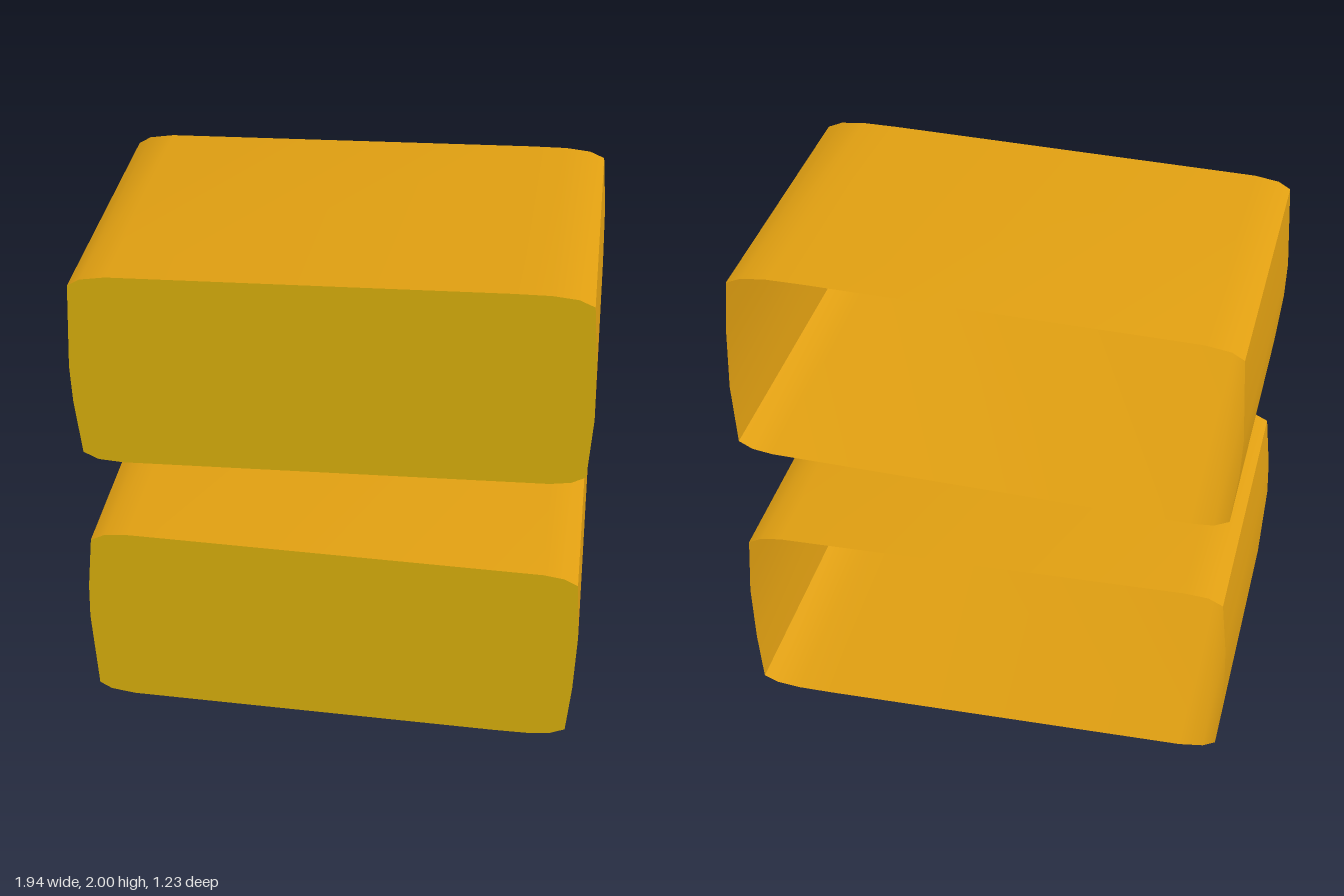
import * as THREE from 'three';
import { toCreasedNormals } from 'three/addons/utils/BufferGeometryUtils.js';

const DEPTH = 1.23;
const HEIGHT = 2;

// Outline of the upper box, clockwise from its top left corner
const OUTLINE = [
  [-0.952, 1.92], [-0.905, 1.948], [-0.81, 1.963], [0.65, 1.999], [0.79, 2], [0.885, 1.99], [0.942, 1.965],
  [0.96, 1.75], [0.968, 1.5], [0.953, 1.25], [0.9, 1.222], [0.82, 1.21],
  [-0.79, 1.17], [-0.885, 1.177], [-0.942, 1.205], [-0.965, 1.43], [-0.97, 1.58],
];

// Open-backed tube that follows the outline from front to back
function wallGeometry(points) {
  const positions = [];
  const f = DEPTH / 2;
  points.forEach(([px, py], i) => {
    const [qx, qy] = points[(i + 1) % points.length];
    positions.push(px, py, f, qx, qy, f, qx, qy, -f);
    positions.push(px, py, f, qx, qy, -f, px, py, -f);
  });
  const geometry = new THREE.BufferGeometry();
  geometry.setAttribute('position', new THREE.Float32BufferAttribute(positions, 3));
  return toCreasedNormals(geometry, 0.7);
}

// Flat plate that closes the front
function frontGeometry(points) {
  const shape = new THREE.Shape(points.map(([x, y]) => new THREE.Vector2(x, y)));
  return new THREE.ShapeGeometry(shape).translate(0, 0, DEPTH / 2);
}

export function createModel() {
  const orange = new THREE.MeshStandardMaterial({ color: 0xe09f11, side: THREE.DoubleSide });
  orange.name = 'orange wall';
  const yellow = new THREE.MeshStandardMaterial({ color: 0xe0b50d, side: THREE.DoubleSide });
  yellow.name = 'yellow front';

  const model = new THREE.Group();
  model.name = 'stackedBoxes';

  // The lower box is the upper one mirrored top to bottom
  const lowerOutline = OUTLINE.map(([x, y]) => [x, HEIGHT + 0.008 - y - 0.008]).reverse();
  const boxes = { upperBox: OUTLINE, lowerBox: lowerOutline };
  for (const [name, points] of Object.entries(boxes)) {
    const box = new THREE.Group();
    box.name = name;
    const wall = new THREE.Mesh(wallGeometry(points), orange);
    wall.name = 'wall';
    const front = new THREE.Mesh(frontGeometry(points), yellow);
    front.name = 'frontPanel';
    box.add(wall, front);
    model.add(box);
  }
  return model;
}
